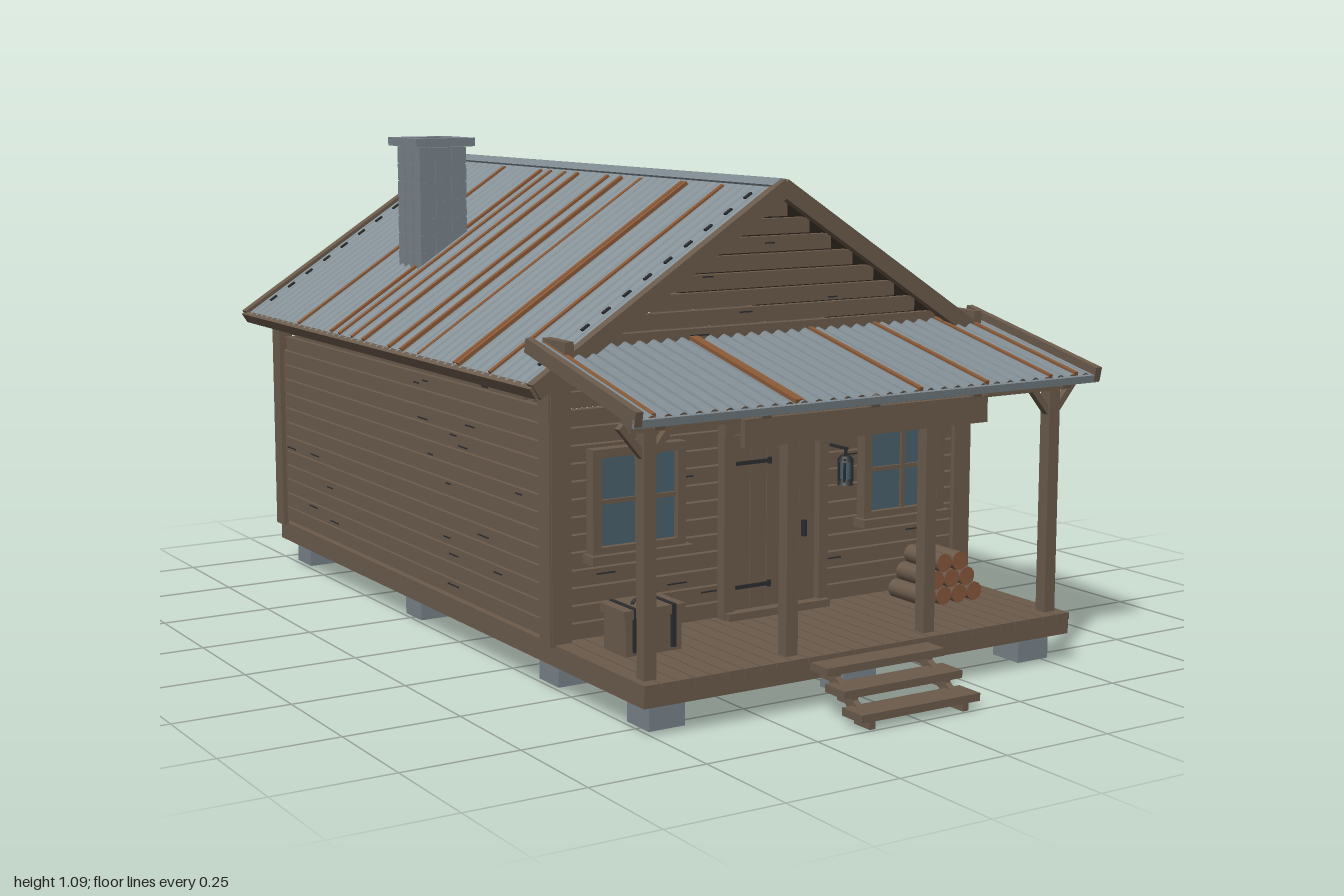
import * as THREE from 'three';

const mat = (name, color, side = THREE.FrontSide) => {
  const m = new THREE.MeshStandardMaterial({ color, side });
  m.name = name;
  return m;
};

export function createModel() {
  const wood = mat('weathered wood', 0x6b5b4c);
  const darkWood = mat('shaded wood', 0x493d32);
  const metal = mat('galvanised metal', 0x7d898f, THREE.DoubleSide);
  const rust = mat('rust', 0x8a5a38);
  const stone = mat('stone', 0x79838a);
  const glass = mat('window glass', 0x4a616d);
  const iron = mat('black iron', 0x2b2d30);
  const log = mat('cut log', 0x85573a);

  let seed = 7;
  const rand = () => (seed = (seed * 16807) % 2147483647) / 2147483647;
  const cabin = new THREE.Group();
  cabin.name = 'cabin';

  const group = (name, parent = cabin, x = 0, y = 0, z = 0) => {
    const g = new THREE.Group();
    g.name = name;
    g.position.set(x, y, z);
    parent.add(g);
    return g;
  };
  const add = (parent, name, geo, m, x, y, z) => {
    const mesh = new THREE.Mesh(geo, m);
    mesh.name = name;
    mesh.position.set(x, y, z);
    parent.add(mesh);
    return mesh;
  };
  const box = (parent, name, m, w, h, d, x, y, z) =>
    add(parent, name, new THREE.BoxGeometry(w, h, d), m, x, y, z);

  // Foundation blocks, floor and joists
  const base = group('foundation');
  for (const x of [-0.46, 0, 0.46]) {
    for (const z of [0.76, 0.41, -0.23, -0.87])
      box(base, 'foundationBlock', stone, 0.082, 0.06, 0.08, x, 0.038, z);
    box(base, 'floorBeam', wood, 0.035, 0.03, 1.74, x, 0.08, -0.06);
  }
  for (const s of [-1, 1]) box(base, 'sideSill', wood, 0.02, 0.045, 1.775, s * 0.52, 0.087, -0.058);
  for (const z of [0.82, 0.44, -0.935]) box(base, 'crossSill', wood, 1.06, 0.043, 0.02, 0, 0.086, z);
  for (let i = 0; i < 38; i++)
    box(base, 'floorPlank', darkWood, 1.02, 0.01, 0.034, 0, 0.098, -0.915 + i * 0.037);
  for (let i = 0; i < 28; i++)
    box(base, 'porchPlank', wood, 0.035, 0.014, 0.36, -0.513 + i * 0.038, 0.103, 0.652);

  // Plank walls; each faces local +z with its outer surface at z = 0
  function wall(name, width, x, z, turn, gable, shift = 0) {
    const g = group(name, cabin, x, 0, z);
    g.rotation.y = turn;
    const half = y => Math.min(width / 2, (1.0 - y) / 0.642);
    const top = gable ? 0.98 : 0.65;
    const step = 0.0365;
    for (let y = 0.128 + shift; y < top; y += step) {
      const w = half(y + 0.008) * 2;
      box(g, 'wallPlank', wood, w, step - 0.004, 0.018, 0, y, -0.01);
      const marks = Math.round(w * 1.6 * rand() + 0.3);
      for (let k = 0; k < marks; k++) {
        const len = 0.02 + rand() * 0.035;
        box(g, 'plankCrack', iron, len, 0.003, 0.002, (rand() - 0.5) * (w - 0.15), y + (rand() - 0.5) * 0.024, -0.0005);
      }
    }
    for (const s of [-1, 1])
      box(g, 'cornerBoard', wood, 0.045, 0.545, 0.014, s * (width / 2 - 0.016), 0.377, 0.003);
    return g;
  }
  const H = Math.PI / 2;
  const front = wall('frontWall', 1.06, 0, 0.48, 0, true);
  wall('backWall', 1.06, 0, -0.945, Math.PI, true);
  const side = wall('leftWall', 1.425, 0.53, -0.2325, H, false);
  wall('rightWall', 1.425, -0.53, -0.2325, -H, false, 0.006);
  for (const s of [-1, 1]) box(cabin, 'wallPlate', wood, 0.03, 0.025, 1.42, s * 0.53, 0.637, -0.2325);

  // Four-pane window
  function window4(parent, x, y, w, h) {
    const g = group('window', parent, x, y, 0);
    box(g, 'windowPane', glass, w, h, 0.008, 0, 0, 0.008);
    for (const s of [-1, 1]) {
      box(g, 'windowSideTrim', wood, 0.02, h + 0.03, 0.028, s * (w / 2 + 0.008), 0, 0.012);
      box(g, 'windowRail', wood, w + 0.036, 0.018, 0.028, 0, s * (h / 2 + 0.008), 0.012);
    }
    box(g, 'windowMullion', wood, 0.009, h, 0.01, 0, 0, 0.014);
    box(g, 'windowMuntin', wood, w, 0.009, 0.01, 0, 0, 0.014);
    box(g, 'windowSill', wood, w + 0.055, 0.018, 0.045, 0, -h / 2 - 0.022, 0.018);
  }
  for (const s of [-1, 1]) window4(front, s * 0.34, 0.393, 0.185, 0.185);
  window4(side, -0.0025, 0.397, 0.18, 0.175);

  // Door with planks, strap hinges and handle
  const door = group('door', front);
  for (let i = 0; i < 5; i++) box(door, 'doorPlank', wood, 0.04, 0.375, 0.014, -0.084 + i * 0.042, 0.312, 0.008);
  for (const s of [-1, 1]) box(door, 'doorJamb', wood, 0.024, 0.41, 0.025, s * 0.122, 0.315, 0.012);
  box(door, 'doorHeader', wood, 0.268, 0.026, 0.03, 0, 0.517, 0.013);
  box(door, 'doorThreshold', wood, 0.26, 0.016, 0.04, 0, 0.118, 0.02);
  for (const y of [0.44, 0.175]) {
    box(door, 'strapHinge', iron, 0.085, 0.008, 0.004, -0.057, y, 0.017);
    box(door, 'hingeEnd', iron, 0.008, 0.014, 0.005, -0.015, y, 0.017);
  }
  box(door, 'doorHandle', iron, 0.008, 0.035, 0.012, 0.073, 0.285, 0.02);

  // Wall lantern
  const lantern = group('lantern', cabin, 0.152, 0.41, 0.54);
  box(lantern, 'lanternBracket', iron, 0.006, 0.006, 0.06, 0, 0.046, -0.025);
  box(lantern, 'lanternHook', iron, 0.005, 0.02, 0.005, 0, 0.038, 0);
  add(lantern, 'lanternGlass', new THREE.CylinderGeometry(0.012, 0.012, 0.04, 8), glass, 0, 0, 0);
  for (const y of [-0.026, 0.024])
    add(lantern, 'lanternCap', new THREE.CylinderGeometry(0.012, 0.018, 0.013, 8), iron, 0, y, 0);
  for (const [x, z] of [[1, 1], [1, -1], [-1, 1], [-1, -1]])
    box(lantern, 'lanternBar', iron, 0.004, 0.05, 0.004, x * 0.01, 0, z * 0.01);

  // Corrugated sheet: ribs run along x and repeat along z
  function corrugated(parent, name, len, width, x, y, z) {
    const ribs = Math.round(width / 0.034);
    const geo = new THREE.PlaneGeometry(len, width, 1, ribs * 6).rotateX(-H);
    const p = geo.attributes.position;
    for (let i = 0; i < p.count; i++)
      p.setY(i, 0.0045 * Math.cos((p.getZ(i) / width + 0.5) * ribs * Math.PI * 2));
    geo.computeVertexNormals();
    return add(parent, name, geo, metal, x, y, z);
  }

  // Main gable roof
  const slope = Math.atan2(0.385, 0.6), L = 0.708;
  const rustRows = {
    1: [-0.94, -0.84, -0.82, -0.75, -0.6, -0.31, -0.275, -0.23, -0.09, -0.03, 0.25, 0.33, 0.38],
    '-1': [-0.66, -0.47, -0.42, -0.35, -0.29, -0.15, -0.09, 0, 0.17, 0.185, 0.33],
  };
  for (const s of [-1, 1]) {
    const half = group('roofSlope', cabin, 0, 1.024, 0);
    half.rotation.z = -s * slope;
    corrugated(half, 'roofSheet', L, 1.5, s * L / 2, 0, -0.235);
    box(half, 'roofDecking', darkWood, L - 0.01, 0.012, 1.49, s * L / 2, -0.013, -0.235);
    for (const z of [0.518, -0.988]) box(half, 'bargeBoard', wood, L, 0.036, 0.024, s * L / 2, -0.01, z);
    box(half, 'eaveBoard', wood, 0.014, 0.026, 1.52, s * L, -0.01, -0.235);
    for (const z of rustRows[s]) box(half, 'rustStreak', rust, L - 0.04, 0.008, 0.011, s * (L / 2 + 0.01), 0.0015, z);
    for (let i = 0; i < 11; i++)
      for (const z of [0.465, -0.935]) box(half, 'roofNail', iron, 0.02, 0.004, 0.008, s * (0.06 + i * 0.058), 0.005, z);
    box(half, 'ridgeCap', metal, 0.024, 0.005, 1.5, s * 0.012, 0.007, -0.235);
  }

  // Block chimney with open cap
  const chimney = group('chimney', cabin, -0.307, 0, -0.5);
  box(chimney, 'chimneyCore', stone, 0.118, 0.36, 0.118, 0, 0.89, 0);
  for (let r = 0; r < 9; r++)
    for (let i = -1; i <= 1; i++)
      for (let j = -1; j <= 1; j++)
        if (i || j) box(chimney, 'chimneyBlock', stone, 0.0385, 0.0385, 0.0385, i * 0.0415, 0.72 + r * 0.0415, j * 0.0415);
  for (const s of [-1, 1]) {
    box(chimney, 'chimneyCapSide', stone, 0.036, 0.02, 0.154, s * 0.059, 1.083, 0);
    box(chimney, 'chimneyCapEnd', stone, 0.082, 0.02, 0.042, 0, 1.083, s * 0.056);
  }
  box(chimney, 'flue', iron, 0.082, 0.008, 0.07, 0, 1.079, 0);

  // Porch roof
  const pitch = Math.atan2(0.09, 0.41), P = 0.42;
  const porchRoof = group('porchRoof', cabin, 0, 0.67, 0.655);
  porchRoof.rotation.x = pitch;
  corrugated(porchRoof, 'porchSheet', P, 1.13, 0, 0, 0).rotation.y = H;
  box(porchRoof, 'porchDripEdge', metal, 1.14, 0.016, 0.008, 0, -0.01, P / 2);
  for (const x of [-0.525, -0.2, -0.19, 0.1, 0.27, 0.44, 0.51])
    box(porchRoof, 'rustStreak', rust, 0.01, 0.008, P - 0.01, x, 0.0015, 0);
  for (const x of [-0.5, -0.26, 0, 0.26, 0.5]) box(porchRoof, 'porchRafter', wood, 0.022, 0.024, P - 0.03, x, -0.02, 0);
  for (const z of [-0.12, 0.02, 0.17]) box(porchRoof, 'porchPurlin', wood, 1.1, 0.01, 0.02, 0, -0.012, z);
  for (const s of [-1, 1]) {
    box(porchRoof, 'porchBargeBoard', wood, 0.016, 0.03, P + 0.01, s * 0.562, 0.0, 0);
    box(cabin, 'roofReturn', wood, 0.02, 0.075, 0.09, s * 0.517, 0.69, 0.485);
  }

  // Porch posts, diagonal braces, beam and plain board
  const porch = group('porchFrame');
  for (const x of [-0.5, -0.172, 0.172, 0.5]) {
    box(porch, 'porchPost', wood, 0.028, 0.49, 0.028, x, 0.352, 0.79);
    for (const s of [-1, 1]) {
      const b = box(porch, 'postBrace', wood, 0.014, 0.085, 0.016, x + s * 0.032, 0.568, 0.79);
      b.rotation.z = -s * 0.7;
    }
  }
  box(porch, 'porchBeam', wood, 1.09, 0.028, 0.034, 0, 0.602, 0.79);
  box(porch, 'headBoard', wood, 0.6, 0.056, 0.014, 0, 0.568, 0.816);

  // Front steps
  const steps = group('steps');
  [[0.092, 0.855], [0.06, 0.912], [0.027, 0.968]].forEach(([y, z]) => {
    box(steps, 'stepTread', wood, 0.292, 0.016, 0.064, 0, y, z);
    for (const s of [-1, 1]) box(steps, 'stepBlock', wood, 0.014, 0.024, 0.05, s * 0.115, y - 0.014, z);
  });
  for (const s of [-1, 1]) {
    const b = box(steps, 'stepStringer', wood, 0.014, 0.022, 0.15, s * 0.115, 0.051, 0.905);
    b.rotation.x = 0.53;
  }

  // Stacked firewood
  const pile = group('firewood');
  [4, 3, 2].forEach((n, r) => {
    for (let i = 0; i < n; i++) {
      const x = 0.365 + (i - (n - 1) / 2) * 0.042;
      const geo = new THREE.CylinderGeometry(0.0205, 0.0205, 0.115, 12).rotateX(H);
      const l = add(pile, 'firewoodLog', geo, [wood, log, log], x, 0.131 + r * 0.036, 0.585);
      l.rotation.z = rand();
    }
  });

  // Strapped chest
  const chest = group('chest', cabin, -0.392, 0.11, 0.6);
  box(chest, 'chestBody', wood, 0.13, 0.075, 0.085, 0, 0.0375, 0);
  box(chest, 'chestLid', wood, 0.142, 0.018, 0.095, 0, 0.085, 0);
  for (const s of [-1, 1]) box(chest, 'chestStrap', iron, 0.01, 0.088, 0.099, s * 0.044, 0.052, 0);
  add(chest, 'chestHandle', new THREE.TorusGeometry(0.02, 0.004, 6, 12, Math.PI).scale(1.2, 0.6, 1), iron, 0, 0.094, 0);

  return cabin;
}
